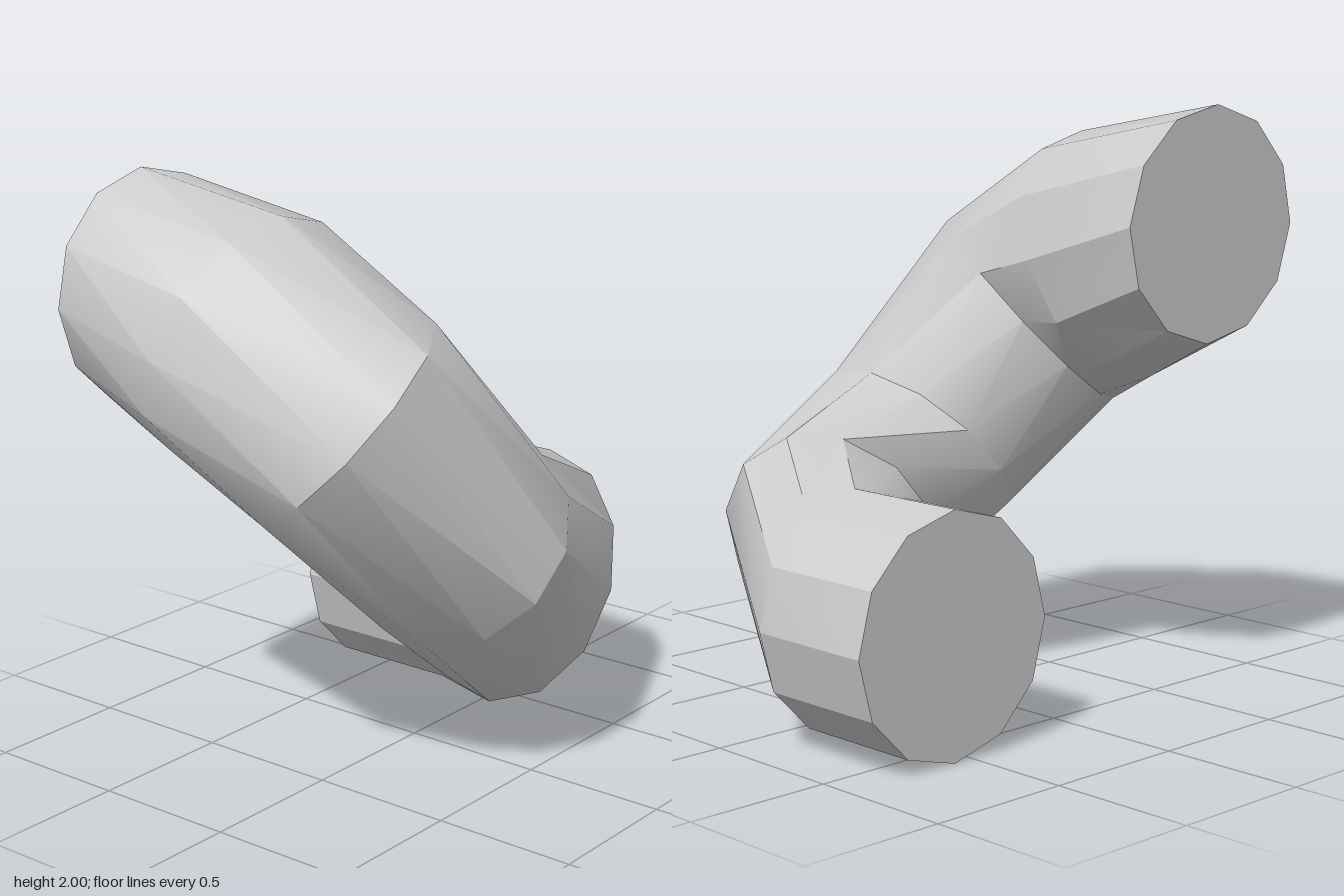
import * as THREE from 'three';
import { toCreasedNormals } from 'three/addons/utils/BufferGeometryUtils.js';

const SIDES = 12;

// Cross-sections along the bend: centre, two half-axes, starting angle in degrees
const SECTIONS = [
  { c: [0.575, 0.4, -0.63], u: [0.395, 0, 0], v: [0, 0.4, 0], start: 0 },
  { c: [0.575, 0.4, -0.17], u: [0.395, 0, 0], v: [0, 0.4, 0], start: 0 },
  { c: [0.33, 0.545, 0.21], u: [0.34, 0.12, 0.16], v: [0.1, 0.37, -0.16], start: 0 },
  { c: [-0.115, 0.8, 0.29], u: [0.257, 0.29, 0], v: [0, 0, -0.395], start: -52 },
  { c: [-0.495, 1.265, 0.1], u: [0.385, 0.165, -0.14], v: [0, -0.265, -0.34], start: -90 },
  { c: [-0.53, 1.49, -0.275], u: [0.44, 0, 0], v: [0, -0.41, -0.165], start: -120 },
  { c: [-0.555, 1.605, -0.68], u: [0.395, 0.012, 0.012], v: [0.012, -0.395, 0.005], start: -120 },
];

function bentTubeGeometry() {
  const positions = [];
  const index = [];

  for (const { c, u, v, start } of SECTIONS) {
    for (let i = 0; i < SIDES; i++) {
      const a = (i / SIDES) * Math.PI * 2 + THREE.MathUtils.degToRad(start);
      for (let k = 0; k < 3; k++) {
        positions.push(c[k] + u[k] * Math.cos(a) + v[k] * Math.sin(a));
      }
    }
  }

  // Side walls
  for (let r = 0; r < SECTIONS.length - 1; r++) {
    for (let i = 0; i < SIDES; i++) {
      const j = (i + 1) % SIDES;
      const a = r * SIDES + i, b = r * SIDES + j;
      index.push(a, b, b + SIDES, a, b + SIDES, a + SIDES);
    }
  }

  // Flat end caps
  const last = (SECTIONS.length - 1) * SIDES;
  for (let i = 1; i < SIDES - 1; i++) {
    index.push(0, i + 1, i);
    index.push(last, last + i, last + i + 1);
  }

  const geometry = new THREE.BufferGeometry();
  geometry.setAttribute('position', new THREE.Float32BufferAttribute(positions, 3));
  geometry.setIndex(index);
  return toCreasedNormals(geometry, THREE.MathUtils.degToRad(29));
}

export function createModel() {
  const group = new THREE.Group();
  group.name = 'bentTubeModel';
  const tube = new THREE.Mesh(
    bentTubeGeometry(),
    new THREE.MeshStandardMaterial({ color: 0xcccccc })
  );
  tube.name = 'bentTube';
  group.add(tube);
  return group;
}
